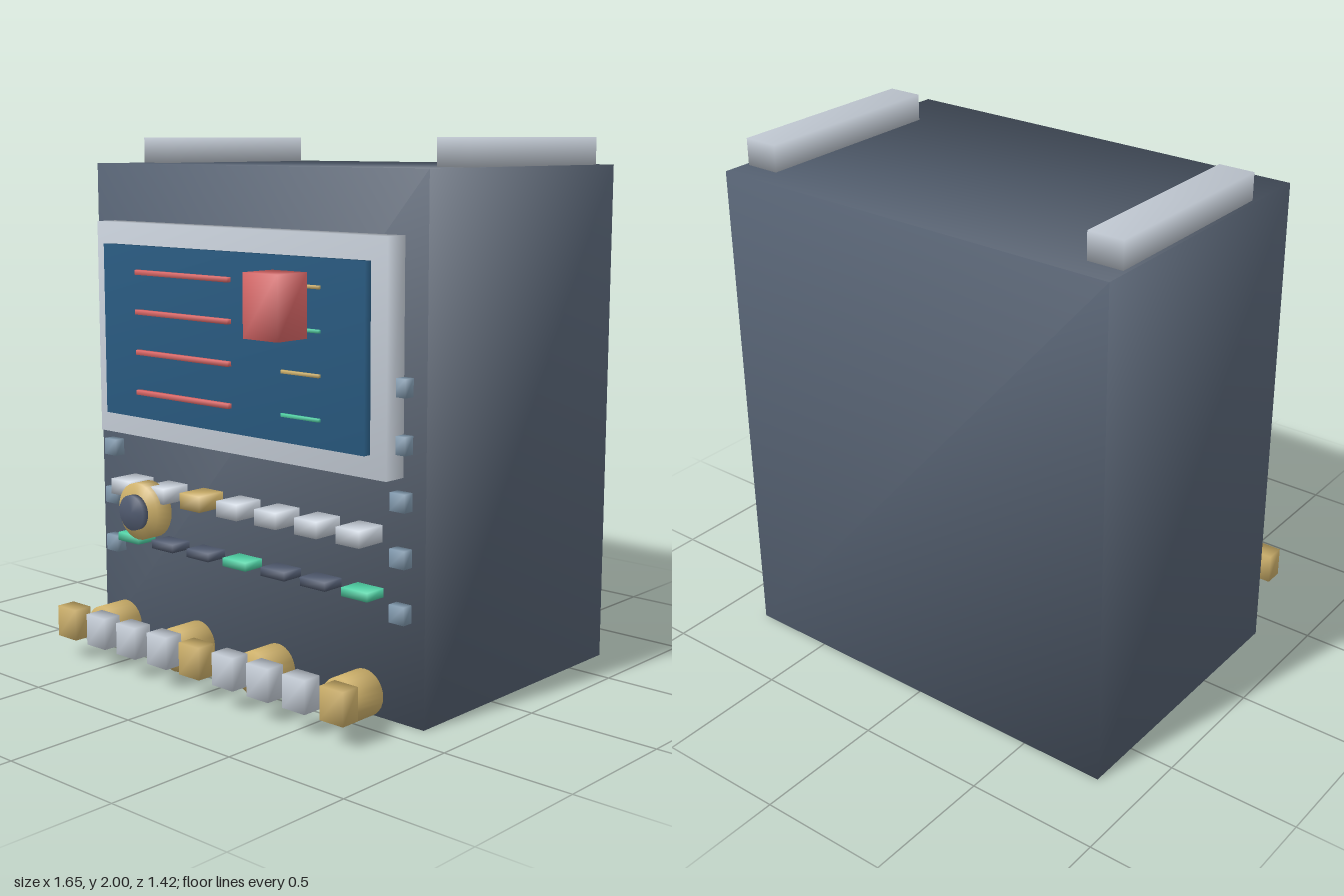
import * as THREE from 'three';
import { mergeVertices } from 'three/addons/utils/BufferGeometryUtils.js';

const mat = (name, color) => {
  const m = new THREE.MeshStandardMaterial({ color });
  m.name = name;
  return m;
};

// Weld corners so normals run smoothly across the edges
const weld = (g) => {
  g.deleteAttribute('normal');
  g.deleteAttribute('uv');
  const w = mergeVertices(g, 1e-4);
  w.computeVertexNormals();
  return w;
};

export function createModel() {
  const slate = mat('slate', 0x566273);
  const darkSlate = mat('darkSlate', 0x515b70);
  const silver = mat('silver', 0xc6ced8);
  const gold = mat('gold', 0xcdb06a);
  const screenBlue = mat('screenBlue', 0x28597f);
  const red = mat('red', 0xdc6868);
  const green = mat('green', 0x4fd0a4);
  const steel = mat('steel', 0x8099ae);

  const model = new THREE.Group();
  model.name = 'console';

  const group = (name) => {
    const g = new THREE.Group();
    g.name = name;
    model.add(g);
    return g;
  };
  // Box given by its extents on each axis
  const box = (parent, name, material, [x0, x1], [y0, y1], [z0, z1]) => {
    const mesh = new THREE.Mesh(weld(new THREE.BoxGeometry(x1 - x0, y1 - y0, z1 - z0)), material);
    mesh.position.set((x0 + x1) / 2, (y0 + y1) / 2, (z0 + z1) / 2);
    mesh.name = name;
    parent.add(mesh);
  };
  // Disc facing the front
  const disc = (parent, name, material, x, y, r, [z0, z1]) => {
    const geo = weld(new THREE.CylinderGeometry(r, r, z1 - z0, 28).rotateX(Math.PI / 2));
    const mesh = new THREE.Mesh(geo, material);
    mesh.position.set(x, y, (z0 + z1) / 2);
    mesh.name = name;
    parent.add(mesh);
  };
  const around = (c, size) => [c - size / 2, c + size / 2];

  // Cabinet and roof rails
  box(model, 'cabinet', slate, [-0.826, 0.826], [0, 1.9], [-0.71, 0.39]);
  const rails = group('roofRails');
  for (const s of [-1, 1]) box(rails, 'roofRail', silver, around(s * 0.742, 0.136), [1.9, 2], [-0.613, 0.16]);

  // Display
  box(model, 'screenBezel', silver, [-0.727, 0.727], [0.868, 1.682], [0.39, 0.48]);
  box(model, 'screen', screenBlue, [-0.656, 0.656], [0.95, 1.6], [0.47, 0.511]);
  const lines = group('screenLines');
  [1.503, 1.354, 1.202, 1.05].forEach((y, i) => {
    box(lines, 'longLine', red, [-0.46, 0.03], around(y, 0.018), [0.511, 0.531]);
    box(lines, 'shortLine', i % 2 ? green : gold, [0.29, 0.467], around(y, 0.012), [0.519, 0.53]);
  });
  box(model, 'alertBlock', red, [0.257, 0.419], [1.327, 1.552], [0.533, 0.678]);

  // Side buttons
  const side = group('sideButtons');
  for (const s of [-1, 1]) {
    for (let i = 0; i < 5; i++) {
      box(side, 'sideButton', steel, around(s * 0.735, 0.066), around(1.18 - i * 0.195, 0.064), [0.39, 0.433]);
    }
  }

  // Upper keys and indicator strips
  const keys = group('panelKeys');
  for (let i = 0; i < 7; i++) {
    const x = (i - 3) * 0.195;
    box(keys, 'panelKey', i === 2 ? gold : silver, around(x, 0.105), around(0.66, 0.06), [0.39, 0.514]);
    box(keys, 'indicator', i % 3 ? darkSlate : green, around(x, 0.118), around(0.452, 0.032), [0.39, 0.478]);
  }

  // Main dial
  const dial = group('dial');
  disc(dial, 'dialRing', gold, -0.457, 0.59, 0.11, [0.465, 0.537]);
  disc(dial, 'dialCap', darkSlate, -0.457, 0.59, 0.068, [0.547, 0.572]);

  // Lower knobs and front row of keys
  const lower = group('lowerControls');
  for (let i = 0; i < 4; i++) {
    disc(lower, 'knob', gold, (i - 1.5) * 0.413, 0.108, 0.084, [0.46, 0.588]);
  }
  for (let i = 0; i < 9; i++) {
    box(lower, 'frontKey', i % 4 ? silver : gold, around((i - 4) * 0.172, 0.104), [0.08, 0.2], [0.634, 0.71]);
  }
  return model;
}
